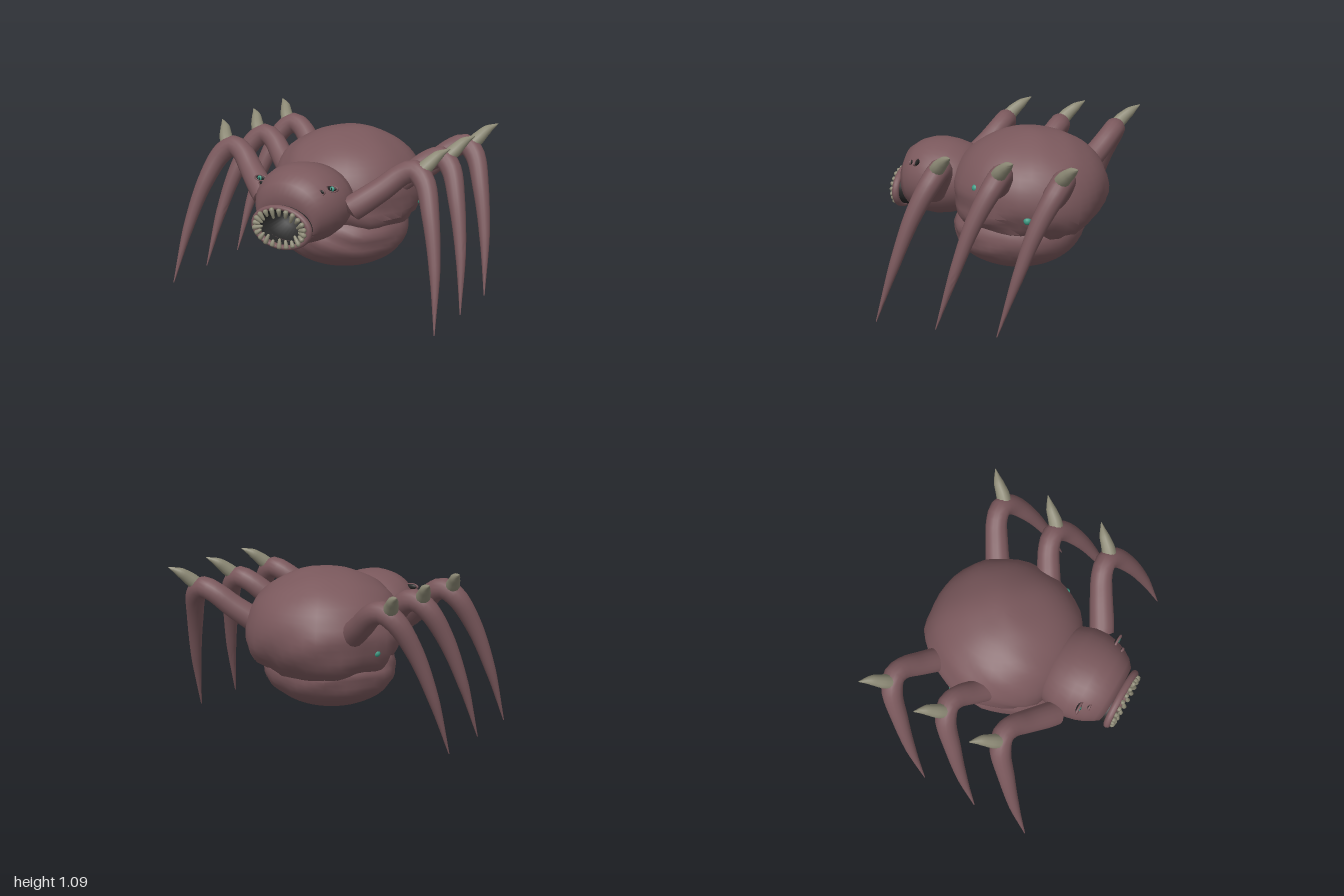
import * as THREE from 'three';
import { mergeVertices, toCreasedNormals } from 'three/addons/utils/BufferGeometryUtils.js';

const paint = (name, color, side = THREE.FrontSide) => {
  const m = new THREE.MeshStandardMaterial({ color, side });
  m.name = name;
  return m;
};
const V = (x, y, z) => new THREE.Vector3(x, y, z);

// Weld seams and smooth, keeping hard edges
function finish(geo, crease = 1) {
  geo.deleteAttribute('uv');
  geo.deleteAttribute('normal');
  const g = mergeVertices(geo, 1e-4);
  g.computeVertexNormals();
  return toCreasedNormals(g, crease);
}

// Tube along a curve whose thickness follows a list of radii
function taperedTube(points, radii, segs, sides) {
  const curve = new THREE.CatmullRomCurve3(points, false, 'centripetal');
  const geo = new THREE.TubeGeometry(curve, segs, 1, sides);
  const p = geo.attributes.position, v = V(0, 0, 0);
  for (let i = 0; i <= segs; i++) {
    const c = curve.getPointAt(i / segs);
    const f = curve.getUtoTmapping(i / segs) * (radii.length - 1);
    const k = Math.min(Math.floor(f), radii.length - 2);
    const r = i === 0 ? 0 : THREE.MathUtils.lerp(radii[k], radii[k + 1], f - k);
    for (let j = 0; j <= sides; j++) {
      const n = i * (sides + 1) + j;
      v.fromBufferAttribute(p, n).sub(c).multiplyScalar(r).add(c);
      p.setXYZ(n, v.x, v.y, v.z);
    }
  }
  return finish(geo);
}

// Oval rings along z, front to back: [z, centreY, radiusX, radiusY, slant]
function loft(rings, sides = 36) {
  const geo = new THREE.CylinderGeometry(1, 1, 1, sides, rings.length - 1, true);
  geo.rotateX(Math.PI / 2);
  const p = geo.attributes.position;
  for (let i = 0; i < p.count; i++) {
    const [z, cy, rx, ry, slant = 0] = rings[Math.floor(i / (sides + 1))];
    const dy = p.getY(i) * ry;
    p.setXYZ(i, p.getX(i) * rx, cy + dy, z + dy * slant);
  }
  return finish(geo);
}

// Ellipsoid with a lumpy skin; lump(y) sets how rough it is at each height
function lumpy(cx, cy, cz, rx, ry, rz, lump) {
  const geo = new THREE.SphereGeometry(1, 40, 28);
  const p = geo.attributes.position, d = V(0, 0, 0);
  for (let i = 0; i < p.count; i++) {
    d.fromBufferAttribute(p, i);
    const n = Math.sin(5.3 * d.x + 1.1) * Math.cos(4.7 * d.z + 0.6) +
      0.7 * Math.sin(9.1 * d.z + 3 * d.y) * Math.cos(8.3 * d.x + 5 * d.y) +
      0.4 * Math.sin(13 * d.y + 11 * d.x + 7 * d.z);
    const k = 1 + n * lump(d.y);
    p.setXYZ(i, cx + d.x * rx * k, cy + d.y * ry * k, cz + d.z * rz * k);
  }
  return finish(geo, 0.8);
}

export function createModel() {
  const model = new THREE.Group();
  const skin = paint('dusky skin', 0x7a585c);
  const horn = paint('horn', 0x8c8975);
  const dark = paint('mouth dark', 0x262626, THREE.DoubleSide);
  const green = paint('green', 0x3f9c85);

  const add = (name, geo, mat, parent = model) => {
    const m = new THREE.Mesh(geo, mat);
    m.name = name;
    parent.add(m);
    return m;
  };

  // Abdomen: upper shell with a ragged hem over a sagging belly
  add('abdomenShell', lumpy(0, 0.69, -0.2, 0.52, 0.4, 0.525,
    y => y > 0.25 ? 0.01 : 0.01 + 0.03 * Math.min(1, (0.25 - y) * 2)), skin);
  add('belly', lumpy(0, 0.41, -0.125, 0.45, 0.27, 0.44,
    y => 0.035 * Math.max(0, 1 - Math.abs(y - 0.1) * 1.1)), skin);

  // Head, open at the mouth
  add('head', loft([
    [0.645, 0.625, 0.195, 0.125, 0.2], [0.65, 0.65, 0.21, 0.165, 0.2],
    [0.615, 0.68, 0.245, 0.21, 0.17], [0.56, 0.7, 0.28, 0.24, 0.08],
    [0.5, 0.71, 0.303, 0.256], [0.43, 0.71, 0.318, 0.262], [0.34, 0.71, 0.315, 0.25],
    [0.25, 0.71, 0.285, 0.225], [0.19, 0.71, 0.23, 0.18], [0.14, 0.71, 0.15, 0.12],
    [0.12, 0.71, 0, 0],
  ]), skin);

  // Mouth: dark collar and throat, lip and a ring of teeth
  const mouth = new THREE.Group();
  mouth.name = 'mouth';
  model.add(mouth);
  const my = 0.61;
  add('collar', loft([[0.7, my, 0.195, 0.125], [0.6, my + 0.01, 0.2, 0.13]]), dark, mouth);
  add('throat', loft([[0.7, my, 0.19, 0.12], [0.6, my, 0.175, 0.11],
    [0.5, my + 0.02, 0.12, 0.08], [0.44, my + 0.03, 0, 0]]), dark, mouth);
  const lip = new THREE.TorusGeometry(1, 0.12, 12, 48);
  lip.scale(0.2, 0.131, 0.2);
  add('lip', lip, skin, mouth).position.set(0, my, 0.698);

  const tooth = new THREE.LatheGeometry([[0, -0.018], [0.013, -0.013], [0.017, 0],
    [0.014, 0.02], [0.009, 0.05], [0, 0.058]].map(([x, y]) => new THREE.Vector2(x, y)), 10);
  const teeth = 22;
  for (let i = 0; i < teeth; i++) {
    const a = (i + 0.5) / teeth * Math.PI * 2;
    const t = add('tooth', tooth, horn, mouth);
    t.position.set(Math.cos(a) * 0.185, my + Math.sin(a) * 0.12, 0.73);
    const dir = V(-Math.cos(a) * 0.6, -Math.sin(a), -0.12).normalize();
    t.quaternion.setFromUnitVectors(V(0, 1, 0), dir);
    t.scale.y = 0.85 + 0.2 * Math.sin(i * 2.4);
  }

  const ball = new THREE.SphereGeometry(1, 16, 12);
  const blob = (name, mat, pos, size, parent) => {
    const m = add(name, ball, mat, parent);
    m.position.set(...pos);
    m.scale.set(...size);
  };

  for (const s of [1, -1]) {
    const side = s > 0 ? 'left' : 'right';

    // Main eye and a small closed eye beside it
    const eye = new THREE.Group();
    eye.name = side + 'Eye';
    model.add(eye);
    const lid = new THREE.TorusGeometry(1, 0.2, 8, 24);
    const rim = add('eyelid', lid, skin, eye);
    rim.position.set(s * 0.265, 0.858, 0.515);
    rim.scale.set(0.042, 0.02, 0.04);
    blob('eyeball', dark, [s * 0.265, 0.858, 0.51], [0.04, 0.019, 0.014], eye);
    blob('iris', green, [s * 0.27, 0.858, 0.519], [0.017, 0.016, 0.009], eye);
    blob('pupil', dark, [s * 0.27, 0.858, 0.527], [0.004, 0.013, 0.003], eye);
    const small = add('smallEyelid', lid, skin, eye);
    small.position.set(s * 0.222, 0.842, 0.57);
    small.scale.set(0.022, 0.018, 0.035);
    blob('smallEyeball', dark, [s * 0.222, 0.842, 0.566], [0.02, 0.016, 0.01], eye);

    // Legs with a backward claw on each knee
    const legPath = [[0.3, 0.675, 0.385], [0.38, 0.735, 0.34], [0.5, 0.83, 0.265],
      [0.61, 0.925, 0.205], [0.69, 0.952, 0.19], [0.77, 0.895, 0.215], [0.86, 0.69, 0.305],
      [0.94, 0.38, 0.405], [0.998, 0.002, 0.518]];
    const clawPath = [[0.725, 0.945, 0.205], [0.77, 1.0, 0.16], [0.812, 1.052, 0.105],
      [0.87, 1.09, 0.05]];
    ['front', 'middle', 'back'].forEach((row, i) => {
      const at = path => path.map(([x, y, z]) => V(s * x, y, z - i * 0.405));
      const leg = new THREE.Group();
      leg.name = `${side}${row}Leg`;
      model.add(leg);
      add('limb', taperedTube(at(legPath),
        [0.085, 0.084, 0.078, 0.072, 0.072, 0.07, 0.056, 0.036, 0.003], 40, 16), skin, leg);
      add('claw', taperedTube(at(clawPath), [0.05, 0.046, 0.033, 0.002], 14, 12), horn, leg);
    });

    // Green spots on the flank
    blob('flankSpot', green, [s * 0.475, 0.6, -0.33], [0.03, 0.027, 0.027], model);
    if (s > 0) blob('shoulderSpot', green, [0.435, 0.775, 0.035], [0.028, 0.026, 0.026], model);
  }
  return model;
}
